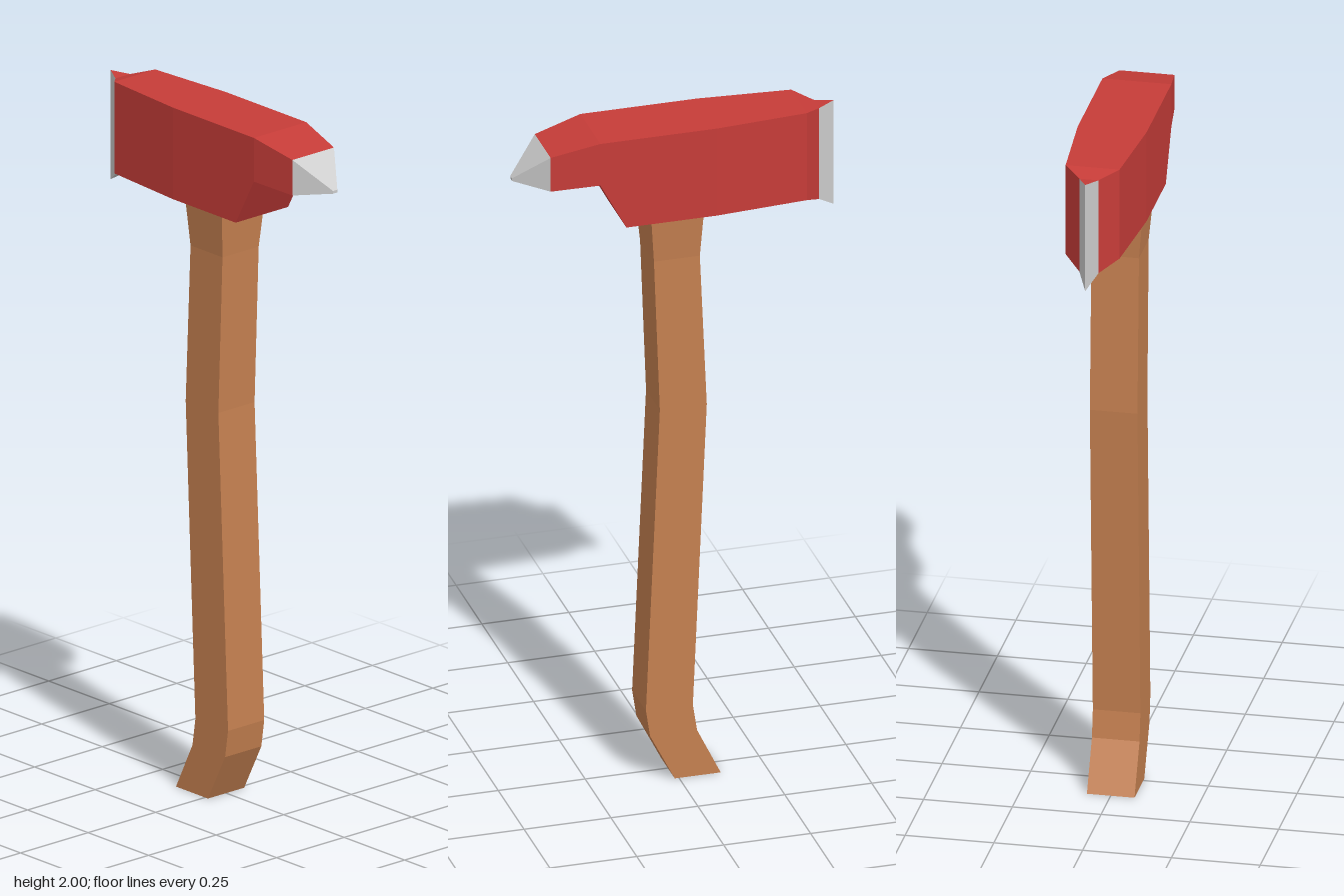
import * as THREE from 'three';

const RED = 0xc63c38, WOOD = 0xc58050, STEEL = 0xcccccc;

// Joins four-cornered rings into a faceted skin; sides picks which of the four walls to build.
function loft(name, color, rings, { sides = [0, 1, 2, 3], startCap = false, endCap = false } = {}) {
  const pos = [];
  const quad = (a, b, c, d) => pos.push(...a, ...b, ...c, ...a, ...c, ...d);
  for (let s = 0; s < rings.length - 1; s++) {
    const p = rings[s], q = rings[s + 1];
    for (const i of sides) {
      const j = (i + 1) % 4;
      quad(p[i], p[j], q[j], q[i]);
    }
  }
  if (startCap) quad(...[...rings[0]].reverse());
  if (endCap) quad(...rings[rings.length - 1]);
  const geometry = new THREE.BufferGeometry();
  geometry.setAttribute('position', new THREE.Float32BufferAttribute(pos, 3));
  geometry.computeVertexNormals();
  const material = new THREE.MeshStandardMaterial({ color, flatShading: true });
  const mesh = new THREE.Mesh(geometry, material);
  mesh.name = name;
  return mesh;
}

// Ring across the head; walls in order: back, top, front, bottom.
const headRing = ([x, y0, y1, h]) => [[x, y0, -h], [x, y1, -h], [x, y1, h], [x, y0, h]];
// Ring across the handle.
const handleRing = ([y, x0, x1, h]) => [[x0, y, -h], [x0, y, h], [x1, y, h], [x1, y, -h]];

export function createModel() {
  const group = new THREE.Group();
  group.name = 'fireAxe';

  // Curved wooden handle: height, left edge, right edge, half depth
  const handle = [
    [0, -0.12, 0.012, 0.067],
    [0.14, -0.052, 0.083, 0.067],
    [0.22, -0.04, 0.095, 0.067],
    [1.14, -0.08, 0.055, 0.067],
    [1.6, -0.06, 0.072, 0.067],
    [1.735, -0.068, 0.083, 0.079],
  ].map(handleRing);
  group.add(loft('handle', WOOD, handle));

  // Painted butt of the handle
  group.add(loft('handleButt', RED, [handle[0]], { startCap: true }));

  // Head: x, bottom, top, half depth
  const edge = [-0.465, 1.67, 1.99, 0];
  const bevel = [-0.415, 1.705, 1.985, 0.027];
  const pickBase = [0.372, 1.863, 1.967, 0.077];
  const head = [
    bevel,
    [-0.365, 1.732, 2, 0.076],
    [-0.1, 1.732, 2, 0.097],
    [0.16, 1.732, 2, 0.097],
    [0.235, 1.872, 2, 0.097],
    pickBase,
  ].map(headRing);
  group.add(loft('head', RED, head));

  // Sharpened blade with a painted top
  const blade = [edge, bevel].map(headRing);
  group.add(loft('blade', STEEL, blade, { sides: [0, 2, 3] }));
  group.add(loft('bladeTop', RED, blade, { sides: [1] }));

  // Pointed pick opposite the blade
  const pick = [pickBase, [0.463, 1.876, 1.884, 0.008]].map(headRing);
  group.add(loft('pick', STEEL, pick, { endCap: true }));

  return group;
}
